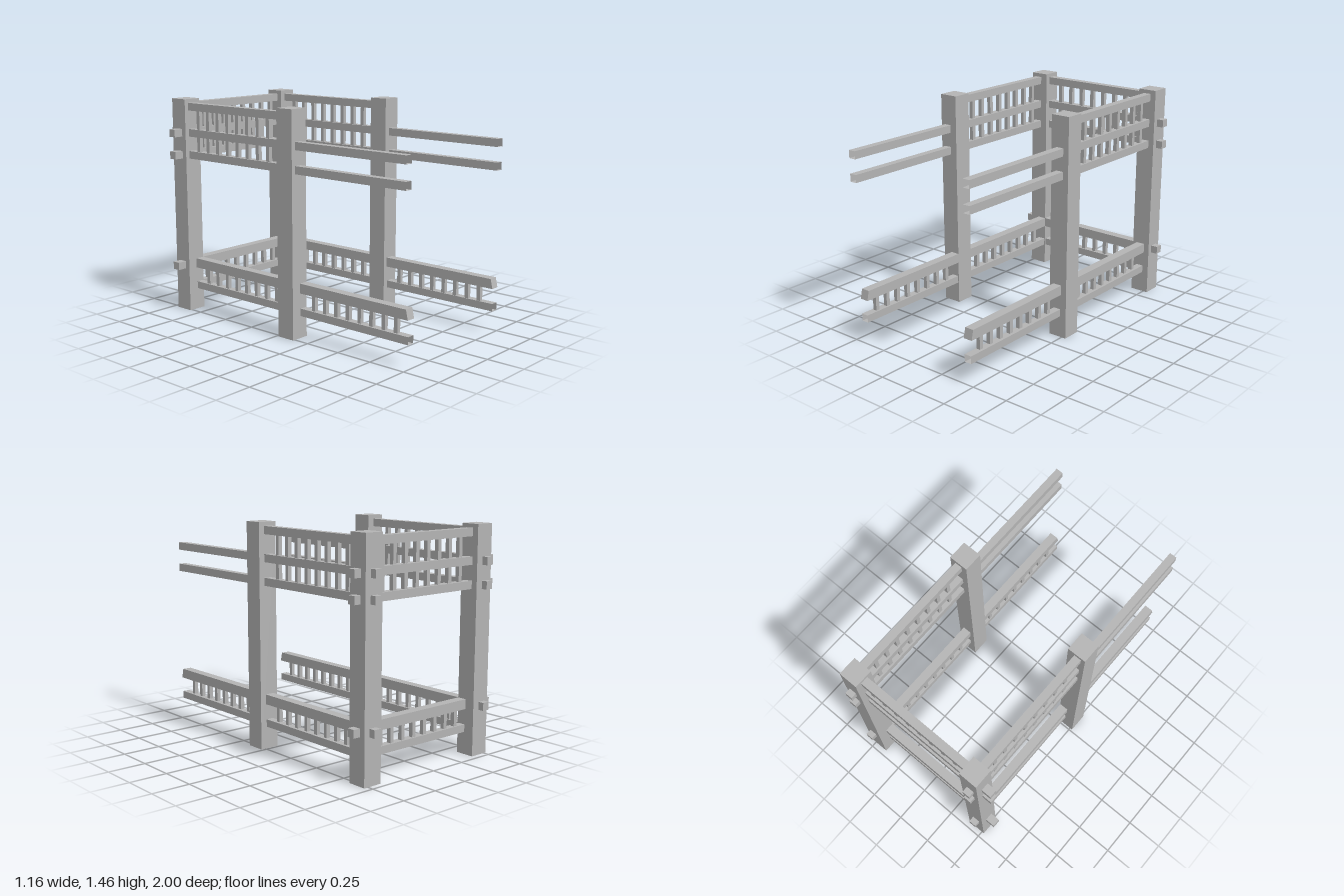
import * as THREE from 'three';

const timber = new THREE.MeshStandardMaterial({ color: 0xb4b4b4, side: THREE.DoubleSide });
timber.name = 'grey timber';

const FACES = ['+x', '-x', '+y', '-y', '+z', '-z'];

// Hollow box between ranges [min, max]; the faces listed in open are left out
function beam(parent, name, x, y, z, open = []) {
  const geo = new THREE.BoxGeometry(x[1] - x[0], y[1] - y[0], z[1] - z[0]);
  const index = Array.from(geo.index.array);
  geo.setIndex(index.filter((_, i) => !open.includes(FACES[Math.floor(i / 6)])));
  geo.clearGroups();
  geo.translate((x[0] + x[1]) / 2, (y[0] + y[1]) / 2, (z[0] + z[1]) / 2);
  const mesh = new THREE.Mesh(geo, timber);
  mesh.name = name;
  parent.add(mesh);
  return mesh;
}

const around = (c, size) => [c - size / 2, c + size / 2];

// Heights of the rails
const TOP = [1.384, 1.435], MID = [1.209, 1.26], LOW = [1.06, 1.111];
const HAND = [0.295, 0.359], FOOT = [0.145, 0.194], TENON = [0.295, 0.346];
// Post extents
const POST_H = [0, 1.46];
const LEFT = [0.402, 0.531], RIGHT = [-0.517, -0.39];
const BACK = [-0.961, -0.834], MIDDLE = [0.014, 0.142];
const BAR = 0.027, STEP = 0.0925, COUNT = 8;

// Centre lines for each side: upper rails, lower rails, reach of the front end
const sides = [
  { name: 'left', post: LEFT, upper: 0.467, lower: 0.462, bar: 0.4555, foot: 0.17, end: 1 },
  { name: 'right', post: RIGHT, upper: -0.463, lower: -0.421, bar: -0.421, foot: 0.194, end: 0.99 },
];

function sideRailing(s) {
  const g = new THREE.Group();
  g.name = s.name + 'Railing';
  const upper = around(s.upper, 0.05), lower = around(s.lower, 0.061);
  const footX = around(s.lower, 0.05), barX = around(s.bar, BAR);
  const rear = [BACK[1], MIDDLE[0]], front = [MIDDLE[1], s.end];

  // Rear bay
  for (const [n, y] of [['topRail', TOP], ['middleRail', MID], ['lowerRail', LOW]])
    beam(g, n, upper, y, rear);
  beam(g, 'bottomHandrail', lower, HAND, rear);
  beam(g, 'footRail', footX, FOOT, rear);

  // Front bay, rails end in mid-air with open ends
  beam(g, 'frontMiddleRail', upper, MID, front, ['+z']);
  beam(g, 'frontLowerRail', upper, LOW, front, ['+z']);
  beam(g, 'frontFootRail', footX, FOOT, front, ['+z']);
  const hand = beam(g, 'frontBottomHandrail', lower, HAND, front);
  // Slanted end of the handrail
  const p = hand.geometry.attributes.position;
  for (let i = 0; i < p.count; i++)
    if (p.getZ(i) > 0.9 && p.getY(i) > 0.33) p.setZ(i, s.end - 0.015);
  hand.geometry.computeVertexNormals();

  // Balusters
  for (let i = 0; i < COUNT; i++) {
    const a = around(-0.104 - i * STEP, BAR);
    beam(g, 'upperBaluster', around(s.upper, BAR), [MID[1], TOP[0]], a);
    beam(g, 'upperBaluster', around(s.upper, BAR), [LOW[1], MID[0]], a);
    beam(g, 'bottomBaluster', barX, [s.foot, HAND[0]], around(-0.083 - i * STEP, BAR));
    beam(g, 'frontBaluster', barX, [s.foot, HAND[0]], around(0.889 - i * STEP, BAR));
  }
  return g;
}

function backRailing() {
  const g = new THREE.Group();
  g.name = 'backRailing';
  const span = [RIGHT[1], LEFT[0]];
  const upper = around(-0.895, 0.053), lower = around(-0.866, 0.062);
  for (const [n, y] of [['topRail', TOP], ['middleRail', MID], ['lowerRail', LOW]])
    beam(g, n, span, y, upper);
  beam(g, 'bottomHandrail', span, HAND, lower);
  beam(g, 'footRail', span, FOOT, around(-0.866, 0.05));
  for (let i = 0; i < COUNT; i++) {
    const a = around(-0.298 + i * STEP, BAR);
    beam(g, 'upperBaluster', a, [MID[1], TOP[0]], around(-0.895, BAR));
    beam(g, 'upperBaluster', a, [LOW[1], MID[0]], around(-0.895, BAR));
    beam(g, 'bottomBaluster', around(-0.317 + i * 0.092, BAR), [FOOT[1], HAND[0]], around(-0.866, BAR));
  }
  return g;
}

export function createModel() {
  const model = new THREE.Group();
  model.name = 'timberFrame';

  for (const s of sides) {
    // Hollow posts, open underneath
    beam(model, s.name + 'BackPost', s.post, POST_H, BACK, ['-y']);
    beam(model, s.name + 'MiddlePost', s.post, POST_H, MIDDLE, ['-y']);
    model.add(sideRailing(s));

    // Rail ends poking out of the back posts
    const outer = s.name === 'left' ? [LEFT[1], 0.578] : [-0.582, RIGHT[0]];
    for (const y of [MID, LOW, TENON]) {
      beam(model, s.name + 'SidePeg', outer, y, around(-0.895, 0.053));
      beam(model, s.name + 'BackPeg', around(s.upper, 0.05), y, [-1, BACK[0]]);
    }
  }
  model.add(backRailing());
  return model;
}
